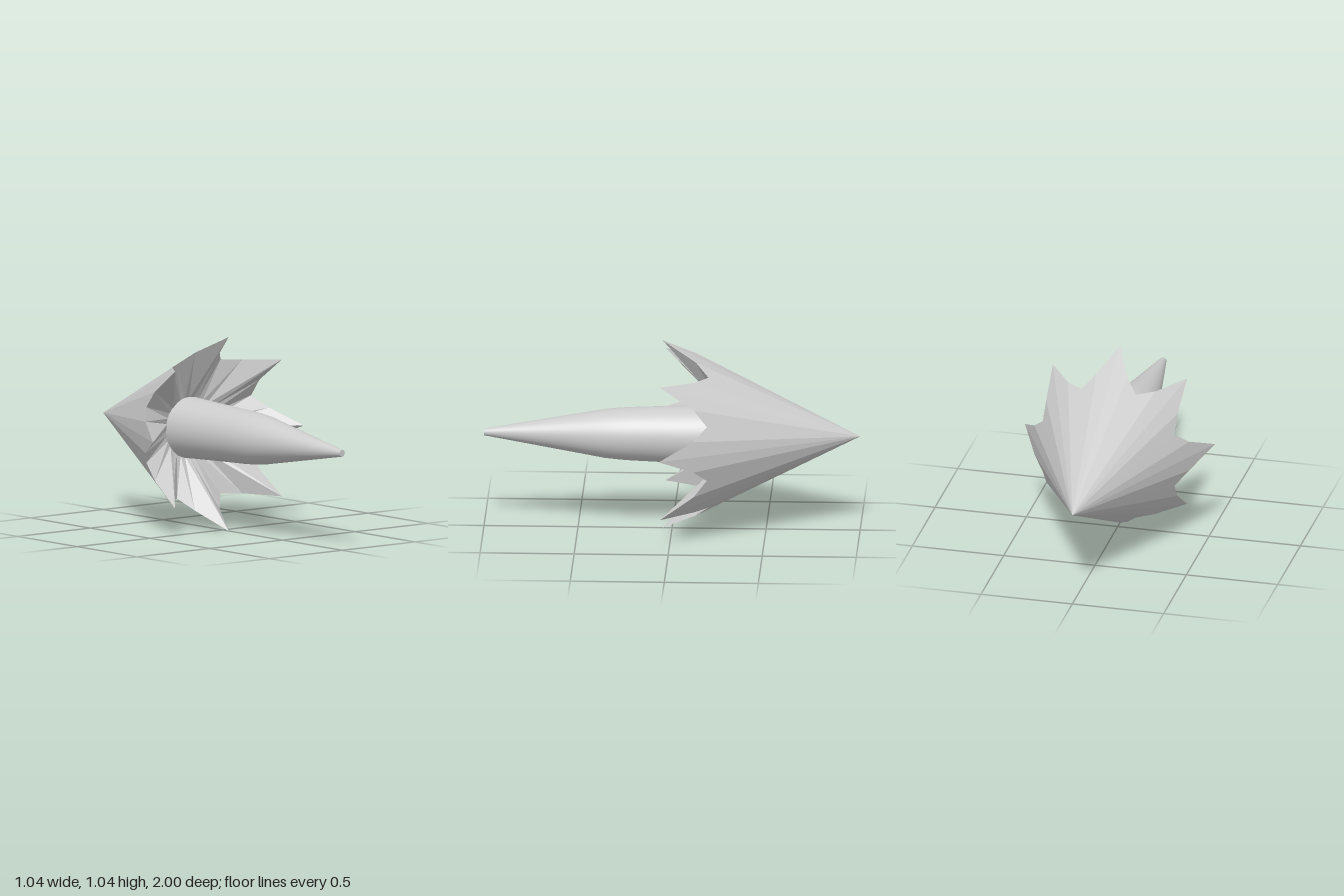
import * as THREE from 'three';

const SIDES = 32;
const TIP_Z = -1;

// Rim radius and depth for one eighth of the star: tip, flank, notch, flank
const RIM = [[0.52, 0.05], [0.432, -0.13], [0.39, -0.2], [0.432, -0.13]];

const ringPoint = (i, r, z) => {
  const a = (i / SIDES) * Math.PI * 2;
  return [Math.cos(a) * r, Math.sin(a) * r, z];
};
const rimPoint = (i) => ringPoint(i, ...RIM[i % 4]);

function facetedMesh(name, positions) {
  const geometry = new THREE.BufferGeometry();
  geometry.setAttribute('position', new THREE.Float32BufferAttribute(positions, 3));
  geometry.computeVertexNormals();
  const mesh = new THREE.Mesh(geometry, new THREE.MeshStandardMaterial({
    color: 0xcccccc, flatShading: true, side: THREE.DoubleSide,
  }));
  mesh.name = name;
  return mesh;
}

export function createModel() {
  const model = new THREE.Group();
  const body = new THREE.Group();
  body.name = 'dart';
  body.position.y = 0.52;
  model.add(body);

  // Pointed cone whose rim is cut into eight teeth
  const cone = [];
  // Folded underside running from the toothed rim in to the shaft
  const underside = [];
  for (let i = 0; i < SIDES; i++) {
    const a = rimPoint(i), b = rimPoint(i + 1);
    const c = ringPoint(i, 0.155, -0.28), d = ringPoint(i + 1, 0.155, -0.28);
    cone.push(...a, 0, 0, TIP_Z, ...b);
    underside.push(...a, ...b, ...c, ...b, ...d, ...c);
  }
  body.add(facetedMesh('toothedCone', cone), facetedMesh('foldedUnderside', underside));

  // Smooth tapering shaft with a small flat end
  const profile = [[0.165, -0.29], [0.16, -0.2], [0.151, 0.0], [0.142, 0.22], [0.138, 0.28],
    [0.13, 0.36], [0.114, 0.45], [0.018, 1]].map(([r, z]) => new THREE.Vector2(r, z));
  const material = new THREE.MeshStandardMaterial({ color: 0xcccccc });
  const shaft = new THREE.Mesh(new THREE.LatheGeometry(profile, 48), material);
  shaft.name = 'shaft';
  shaft.rotation.x = Math.PI / 2;
  const end = new THREE.Mesh(new THREE.CircleGeometry(0.018, 48), material);
  end.name = 'shaftEnd';
  end.position.z = 1;
  body.add(shaft, end);

  return model;
}
